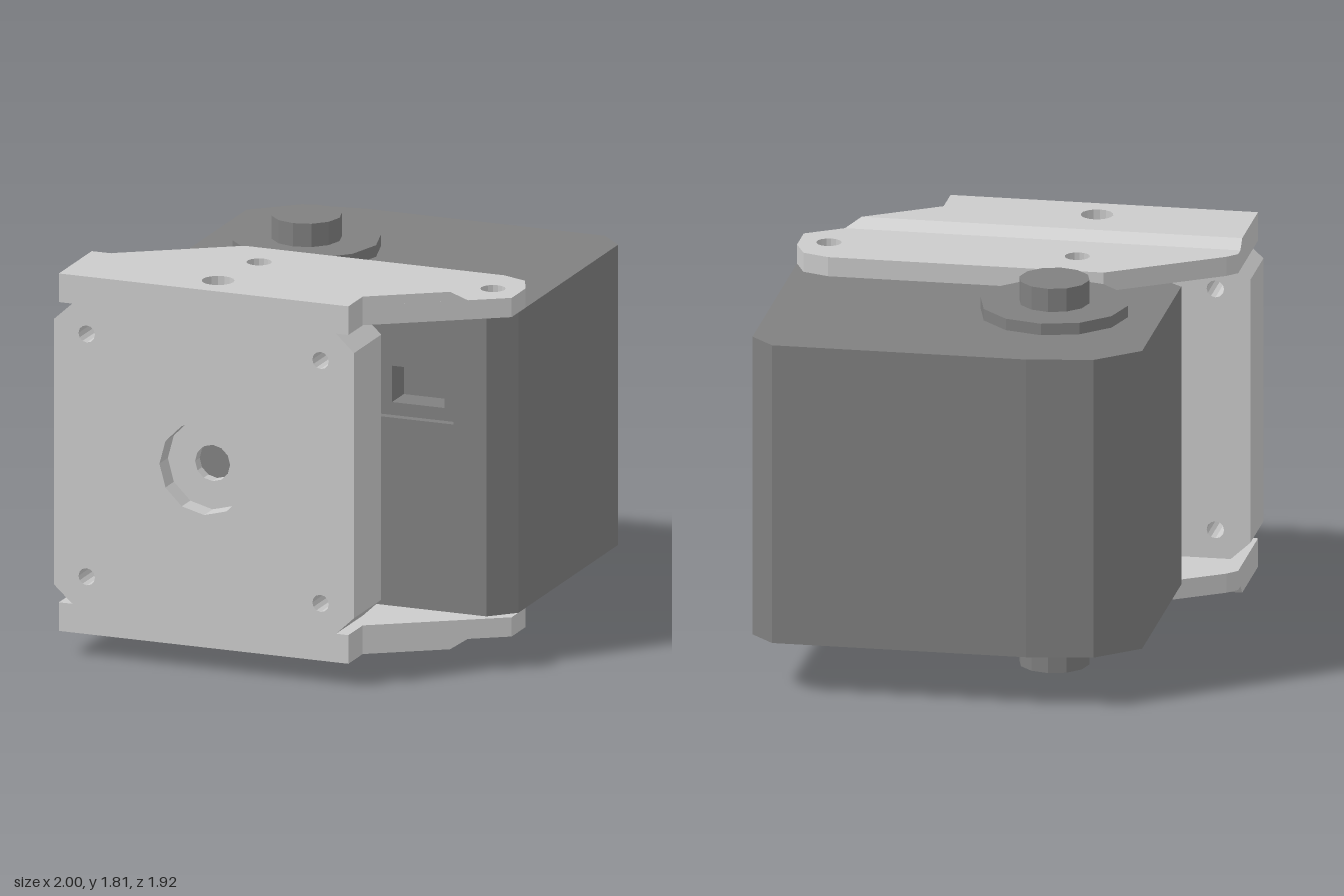
import * as THREE from 'three';

const light = new THREE.MeshStandardMaterial({ color: 0xcccccc, flatShading: true });
const dark = new THREE.MeshStandardMaterial({ color: 0x808080, flatShading: true });
const CX = -0.27;   // shared x of the shaft and the plate centre
const SHAFT_Z = -0.257;
const MID_Y = 0.947;
const BODY_Y0 = 0.245, BODY_Y1 = 1.649;

function add(parent, name, geometry, material, x = 0, y = 0, z = 0) {
  const mesh = new THREE.Mesh(geometry, material);
  mesh.name = name;
  mesh.position.set(x, y, z);
  parent.add(mesh);
}

function makeShape(points, holes) {
  const shape = new THREE.Shape(points.map(([x, y]) => new THREE.Vector2(x, y)));
  for (const h of holes) shape.holes.push(new THREE.Path(h.map(([x, y]) => new THREE.Vector2(x, y))));
  return shape;
}

const ring = (cx, cy, r, n = 12) => Array.from({ length: n }, (_, i) => {
  const a = (i / n) * Math.PI * 2;
  return [cx + r * Math.cos(a), cy + r * Math.sin(a)];
});

const rect = (x0, y0, x1, y1) => [[x0, y0], [x1, y0], [x1, y1], [x0, y1]];

// Outline in (x, y), thickened from z0 to z1
function frontSlab(points, holes, z0, z1) {
  return new THREE.ExtrudeGeometry(makeShape(points, holes), { depth: z1 - z0, bevelEnabled: false })
    .translate(0, 0, z0);
}

// Outline in (x, z), thickened from y0 to y1
function planSlab(points, holes, y0, y1) {
  const flip = (list) => list.map(([x, z]) => [x, -z]);
  return new THREE.ExtrudeGeometry(makeShape(flip(points), holes.map(flip)), { depth: y1 - y0, bevelEnabled: false })
    .rotateX(-Math.PI / 2).translate(0, y0, 0);
}

// Motor housing with a connector socket in its front face
function createHousing() {
  const g = new THREE.Group();
  g.name = 'housing';
  const front = 0.445, back = 0.265;
  const sx0 = 0.045, sx1 = 0.73, sy0 = 1.125, sy1 = 1.425;
  add(g, 'housingBody', planSlab([
    [-0.76, -0.74], [-0.57, -0.91], [CX, -0.96], [0.89, -0.96], [1, -0.85],
    [1, 0.337], [0.89, front], [sx1, front], [sx1, back], [sx0, back], [sx0, front],
    [CX, front], [-0.57, 0.396], [-0.76, 0.226],
  ], [], BODY_Y0, BODY_Y1), dark);
  add(g, 'housingBelowSocket', frontSlab(rect(sx0, BODY_Y0, sx1, sy0), [], back, front), dark);
  add(g, 'housingAboveSocket', frontSlab(rect(sx0, sy1, sx1, BODY_Y1), [], back, front), dark);
  add(g, 'socketFrame', frontSlab(rect(sx0, sy0, sx1, sy1), [
    rect(0.105, 1.185, 0.36, 1.355), rect(0.415, 1.185, 0.67, 1.355),
  ], back, 0.405), dark);
  return g;
}

// Shaft and its collars, passing through the housing
function createShaft() {
  const g = new THREE.Group();
  g.name = 'shaftAssembly';
  add(g, 'shaft', new THREE.CylinderGeometry(0.16, 0.16, 1.812, 12), dark, CX, 0.906, SHAFT_Z);
  for (const [name, y] of [['topCollar', 1.673], ['bottomCollar', 0.221]]) {
    add(g, name, new THREE.CylinderGeometry(0.337, 0.337, 0.06, 12), dark, CX, y, SHAFT_Z);
  }
  return g;
}

// Mounting plate: round front recess, pierced floor, square rear pocket
function createPlate() {
  const g = new THREE.Group();
  g.name = 'mountingPlate';
  const outline = [
    [-0.91, BODY_Y0], [0.37, BODY_Y0], [0.457, 0.327], [0.457, 1.567],
    [0.37, BODY_Y1], [-0.91, BODY_Y1], [-1, 1.567], [-1, 0.327],
  ];
  const screwHoles = [];
  for (const x of [-0.84, 0.295]) for (const y of [0.379, 1.515]) screwHoles.push(ring(x, y, 0.04));
  const layers = [
    ['plateFront', ring(CX, MID_Y, 0.217), 0.86, 0.96],
    ['plateFloor', ring(CX, MID_Y, 0.085), 0.805, 0.86],
    ['plateRear', rect(CX - 0.273, MID_Y - 0.275, CX + 0.273, MID_Y + 0.275), 0.636, 0.805],
  ];
  for (const [name, hole, z0, z1] of layers) {
    add(g, name, frontSlab(outline, [hole, ...screwHoles], z0, z1), light);
  }
  return g;
}

// Stepped arm reaching back from the plate over the housing
function createArm(name) {
  const g = new THREE.Group();
  g.name = name;
  const low = BODY_Y1, mid = 1.739, high = 1.783;
  const blindHole = ring(CX, 0.795, 0.074, 16);
  add(g, 'armBase', planSlab([
    [-0.975, 0.96], [0.43, 0.96], [0.43, 0.79], [1, 0.415], [1, 0.25], [0.95, 0.135],
    [0.83, 0.09], [-0.43, 0.09], [-0.93, 0.42], [-0.975, 0.47],
  ], [ring(CX, 0.307, 0.057, 16), ring(0.865, 0.307, 0.057, 16), blindHole], low, mid), light);
  add(g, 'armRaisedPart', planSlab([
    [-0.975, 0.96], [0.43, 0.96], [0.43, 0.79], [0.764, 0.57], [-0.975, 0.57],
  ], [blindHole], mid, high), light);

  // Ramp between the two thicknesses: its rear top edge drops to the base
  const ramp = planSlab([[-0.975, 0.57], [0.764, 0.57], [0.832, 0.525], [-0.975, 0.525]], [], mid, high);
  const p = ramp.attributes.position;
  for (let i = 0; i < p.count; i++) {
    if (p.getZ(i) < 0.55) p.setY(i, mid);
  }
  ramp.computeVertexNormals();
  add(g, 'armRamp', ramp, light);
  return g;
}

export function createModel() {
  const model = new THREE.Group();
  model.name = 'motorWithBracket';
  const bottomArm = createArm('bottomArm');
  bottomArm.scale.y = -1;
  bottomArm.position.y = 2 * MID_Y;
  model.add(createHousing(), createShaft(), createPlate(), createArm('topArm'), bottomArm);
  return model;
}
